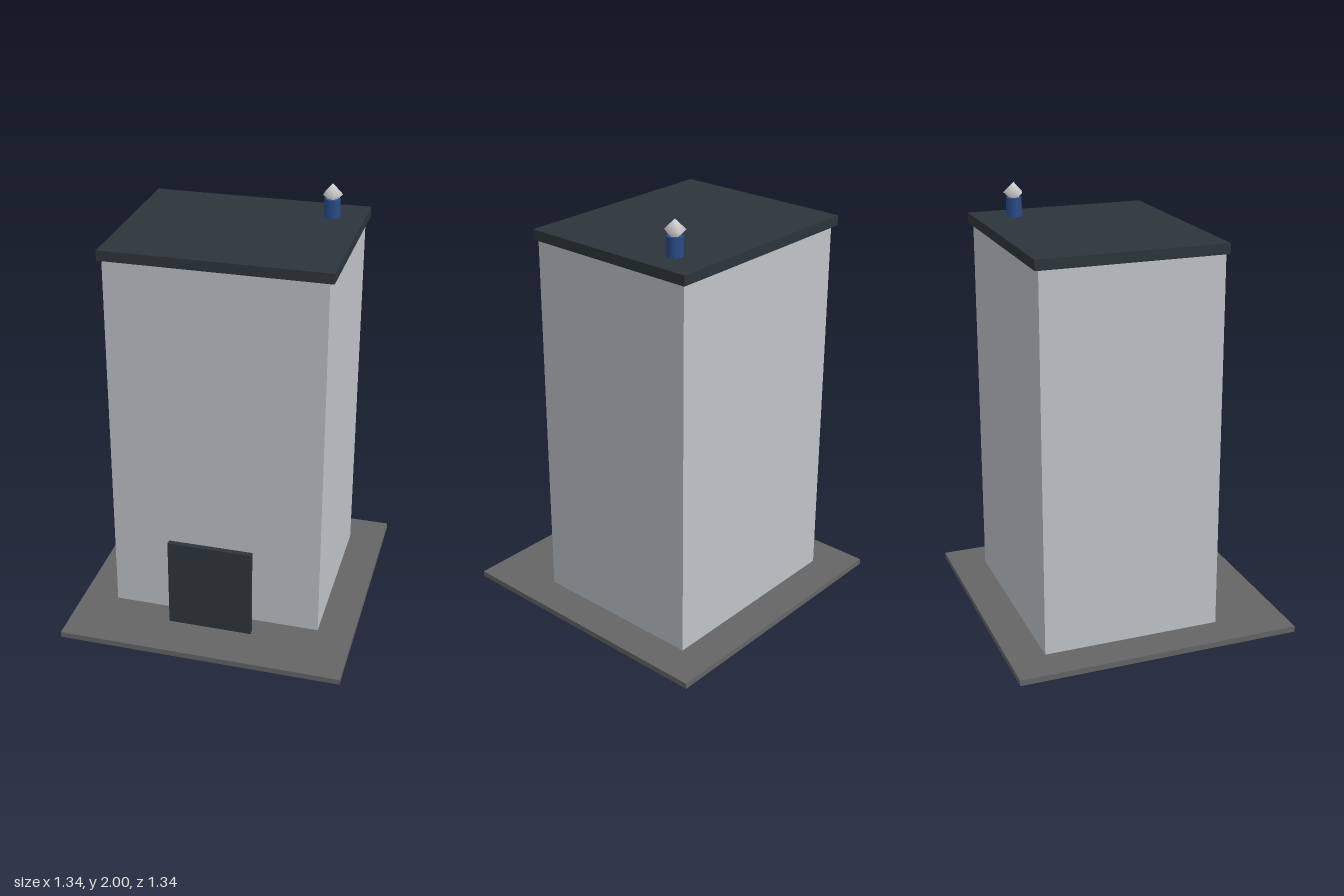
import * as THREE from 'three';

const mat = (name, color) => {
  const m = new THREE.MeshStandardMaterial({ color });
  m.name = name;
  return m;
};

export function createModel() {
  const model = new THREE.Group();
  model.name = 'tower';

  const paving = mat('paving grey', 0x656565);
  const wall = mat('wall silver', 0xbfc4c7);
  const slate = mat('dark slate', 0x2d353b);
  const blue = mat('beacon blue', 0x2a4d8a);
  const white = mat('lamp white', 0xdddddd);

  const add = (name, geometry, material, x, y, z) => {
    const mesh = new THREE.Mesh(geometry, material);
    mesh.name = name;
    mesh.position.set(x, y, z);
    model.add(mesh);
    return mesh;
  };
  // Box given by its lower and upper limits on each axis
  const block = (name, material, [x0, x1], [y0, y1], [z0, z1]) =>
    add(name, new THREE.BoxGeometry(x1 - x0, y1 - y0, z1 - z0), material,
      (x0 + x1) / 2, (y0 + y1) / 2, (z0 + z1) / 2);

  // Ground slab, tower and overhanging roof
  block('groundSlab', paving, [-0.67, 0.67], [0, 0.027], [-0.67, 0.67]);
  block('towerWalls', wall, [-0.5, 0.5], [0.027, 1.795], [-0.5, 0.34]);
  block('roofSlab', slate, [-0.52, 0.52], [1.795, 1.842], [-0.52, 0.35]);

  // Door on the front wall, with a free-standing screen before it
  block('door', paving, [-0.1, 0.1], [0.027, 0.4], [0.339, 0.355]);
  block('entranceScreen', slate, [-0.2, 0.2], [0.027, 0.469], [0.426, 0.452]);

  // Rooftop beacon: blue post and faceted lamp
  add('beaconPost', new THREE.CylinderGeometry(0.038, 0.038, 0.088, 8), blue, 0.37, 1.885, -0.337);
  const lamp = add('beaconLamp', new THREE.SphereGeometry(0.048, 5, 2), white, 0.37, 1.952, -0.337);
  lamp.rotation.y = Math.PI;

  return model;
}
